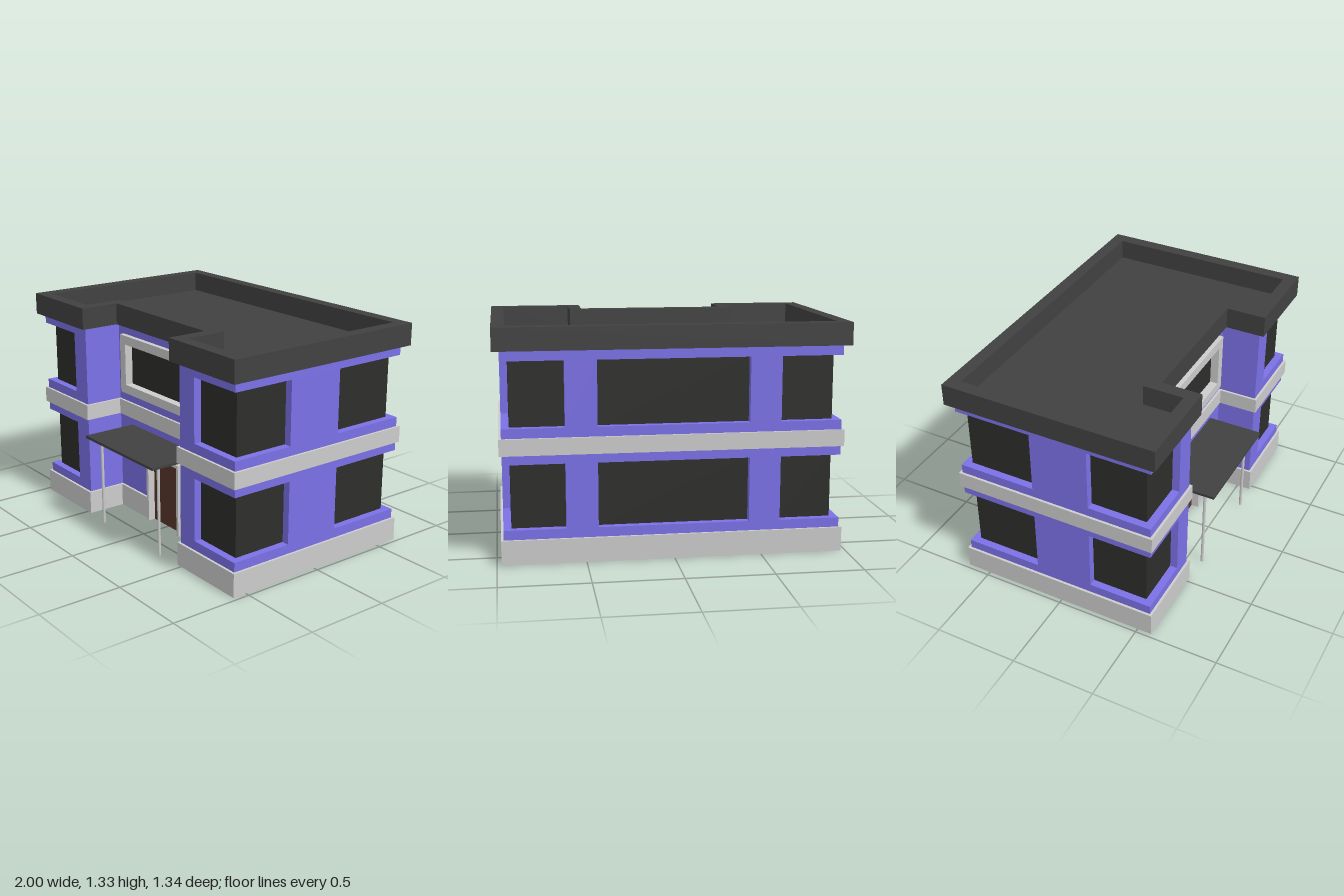
import * as THREE from 'three';

const mat = (color) => new THREE.MeshStandardMaterial({ color });
const purple = mat(0x7b71e7), grey = mat(0xcccccc), dark = mat(0x414141);
const glass = mat(0x2d2d2b), brown = mat(0x58352b);

const T = 0.045; // wall thickness
// Wall faces: outer sides, back, wing fronts, recess sides, recess back
const W = { x: 0.96, b: -0.63, f: 0.57, rx: 0.48, rz: 0.33 };

// Moves the whole footprint outwards by d (inwards when negative)
const grow = (d) => ({ x: W.x + d, b: W.b - d, f: W.f + d, rx: W.rx - d, rz: W.rz + d });

// Corner points of the U-shaped plan, from one recess corner round to the other
const outline = (p) => [
  [p.rx, p.rz], [p.rx, p.f], [p.x, p.f], [p.x, p.b],
  [-p.x, p.b], [-p.x, p.f], [-p.rx, p.f], [-p.rx, p.rz],
];

// Extrudes a plan polygon of [x, z] points from y0 to y1
function planGeometry(points, y0, y1, hole) {
  const toV = ([x, z]) => new THREE.Vector2(x, -z);
  const shape = new THREE.Shape(points.map(toV));
  if (hole) shape.holes.push(new THREE.Path(hole.map(toV)));
  const g = new THREE.ExtrudeGeometry(shape, { depth: y1 - y0, bevelEnabled: false });
  return g.rotateX(-Math.PI / 2).translate(0, y0, 0);
}

// Open ring that runs round the plan but leaves out the recess back
function ringGeometry(d, thick, y0, y1) {
  const outer = outline(grow(d)), inner = outline(grow(d - thick));
  outer[0][1] = outer[7][1] = inner[0][1];
  return planGeometry([...outer, ...inner.reverse()], y0, y1);
}

// Extrudes an upright panel of [x, y] points from z0 to z1
function panelGeometry(points, z0, z1, hole) {
  const toV = ([x, y]) => new THREE.Vector2(x, y);
  const shape = new THREE.Shape(points.map(toV));
  if (hole) shape.holes.push(new THREE.Path(hole.map(toV)));
  return new THREE.ExtrudeGeometry(shape, { depth: z1 - z0, bevelEnabled: false }).translate(0, 0, z0);
}

const rect = (hw, y0, y1) => [[-hw, y0], [hw, y0], [hw, y1], [-hw, y1]];

export function createModel() {
  const model = new THREE.Group();
  const add = (parent, name, geometry, material) => {
    const m = new THREE.Mesh(geometry, material);
    m.name = name;
    parent.add(m);
    return m;
  };
  // Box given by its limits on each axis
  const box = (parent, name, material, x0, x1, y0, y1, z0, z1) =>
    add(parent, name, new THREE.BoxGeometry(Math.abs(x1 - x0), y1 - y0, z1 - z0)
      .translate((x0 + x1) / 2, (y0 + y1) / 2, (z0 + z1) / 2), material);

  // Storeys: rings below and above the windows, piers and glass between
  const storeys = [
    { name: 'groundStorey', y0: 0.14, sill: 0.195, head: 0.567, y1: 0.62 },
    { name: 'upperStorey', y0: 0.715, sill: 0.77, head: 1.142, y1: 1.2 },
  ];
  for (const { name, y0, sill, head, y1 } of storeys) {
    const s = new THREE.Group();
    s.name = name;
    model.add(s);
    add(s, 'wallBelowWindows', ringGeometry(0, T, y0, sill), purple);
    add(s, 'wallAboveWindows', ringGeometry(0, T, head, y1), purple);
    const gx = W.x - T, gf = W.f - T, gb = W.b + T, G = 0.02;
    for (const k of [1, -1]) {
      box(s, 'sidePier', purple, k * gx, k * W.x, sill, head, -0.16, 0.19);
      box(s, 'backPier', purple, k * 0.43, k * 0.61, sill, head, W.b, gb);
      const pier = [[0.61, W.f], [W.rx, W.f], [W.rx, W.rz - T], [W.rx + T, W.rz - T],
        [W.rx + T, gf], [0.61, gf]].map(([x, z]) => [k * x, z]);
      add(s, 'frontPier', planGeometry(pier, sill, head), purple);
      // Corner windows, set back to the inner wall face
      box(s, 'frontWindow', glass, k * 0.61, k * gx, sill, head, gf - G, gf);
      box(s, 'frontSideWindow', glass, k * (gx - G), k * gx, sill, head, 0.19, gf - G);
      box(s, 'backSideWindow', glass, k * (gx - G), k * gx, sill, head, gb + G, -0.16);
      box(s, 'backCornerWindow', glass, k * 0.61, k * gx, sill, head, gb, gb + G);
    }
    box(s, 'backMiddleWindow', glass, -0.43, 0.43, sill, head, gb, gb + G);
  }

  // Recess back walls, with a doorway below and a wide window above
  const [ground, upper] = storeys;
  add(model, 'entranceWall', panelGeometry([
    [-W.rx, ground.y0], [-0.165, ground.y0], [-0.165, 0.455], [0.165, 0.455],
    [0.165, ground.y0], [W.rx, ground.y0], [W.rx, ground.y1], [-W.rx, ground.y1],
  ], W.rz - T, W.rz), purple);
  add(model, 'upperRecessWall', panelGeometry(rect(W.rx, upper.y0, upper.y1),
    W.rz - T, W.rz, rect(0.425, 0.775, 1.14)), purple);

  // Wide window
  add(model, 'wideWindowFrame', panelGeometry(rect(0.425, 0.775, 1.14), 0.28, 0.36,
    rect(0.37, 0.83, 1.085)), grey);
  box(model, 'wideWindow', glass, -0.37, 0.37, 0.83, 1.085, 0.29, 0.31);

  // Door and its frame
  add(model, 'doorFrame', panelGeometry([
    [-0.165, 0], [-0.145, 0], [-0.145, 0.435], [0.145, 0.435],
    [0.145, 0], [0.165, 0], [0.165, 0.455], [-0.165, 0.455],
  ], 0.26, 0.36), grey);
  box(model, 'door', brown, -0.145, 0.145, 0, 0.435, 0.275, 0.315);

  // Plinth, stopping either side of the door
  const P = grow(0.015);
  add(model, 'plinth', ringGeometry(0.015, 0.018, 0, 0.14), grey);
  for (const k of [1, -1]) {
    box(model, 'entrancePlinth', grey, k * 0.165, k * P.rx, 0, 0.14, P.rz - 0.018, P.rz);
  }

  // Band and floor between the storeys
  add(model, 'floorBand', ringGeometry(0.015, T + 0.015, 0.62, 0.715), grey);
  box(model, 'recessBand', grey, -P.rx, P.rx, 0.62, 0.715, W.rz - T, P.rz);
  add(model, 'upperFloor', planGeometry(outline(grow(-T)), 0.65, 0.7), purple);

  // Flat roof with a parapet
  add(model, 'parapet', planGeometry(outline(grow(0.04)), 1.2, 1.33, outline(grow(-0.035))), dark);
  add(model, 'roofDeck', planGeometry(outline(grow(-0.035)), 1.2, 1.21), dark);

  // Entrance canopy on two thin posts
  box(model, 'canopy', dark, -0.35, 0.35, 0.555, 0.571, 0.27, 0.67);
  for (const x of [0.297, -0.297]) {
    add(model, 'canopyPost', new THREE.CylinderGeometry(0.009, 0.009, 0.556, 12)
      .translate(x, 0.278, 0.592), grey);
  }
  return model;
}
